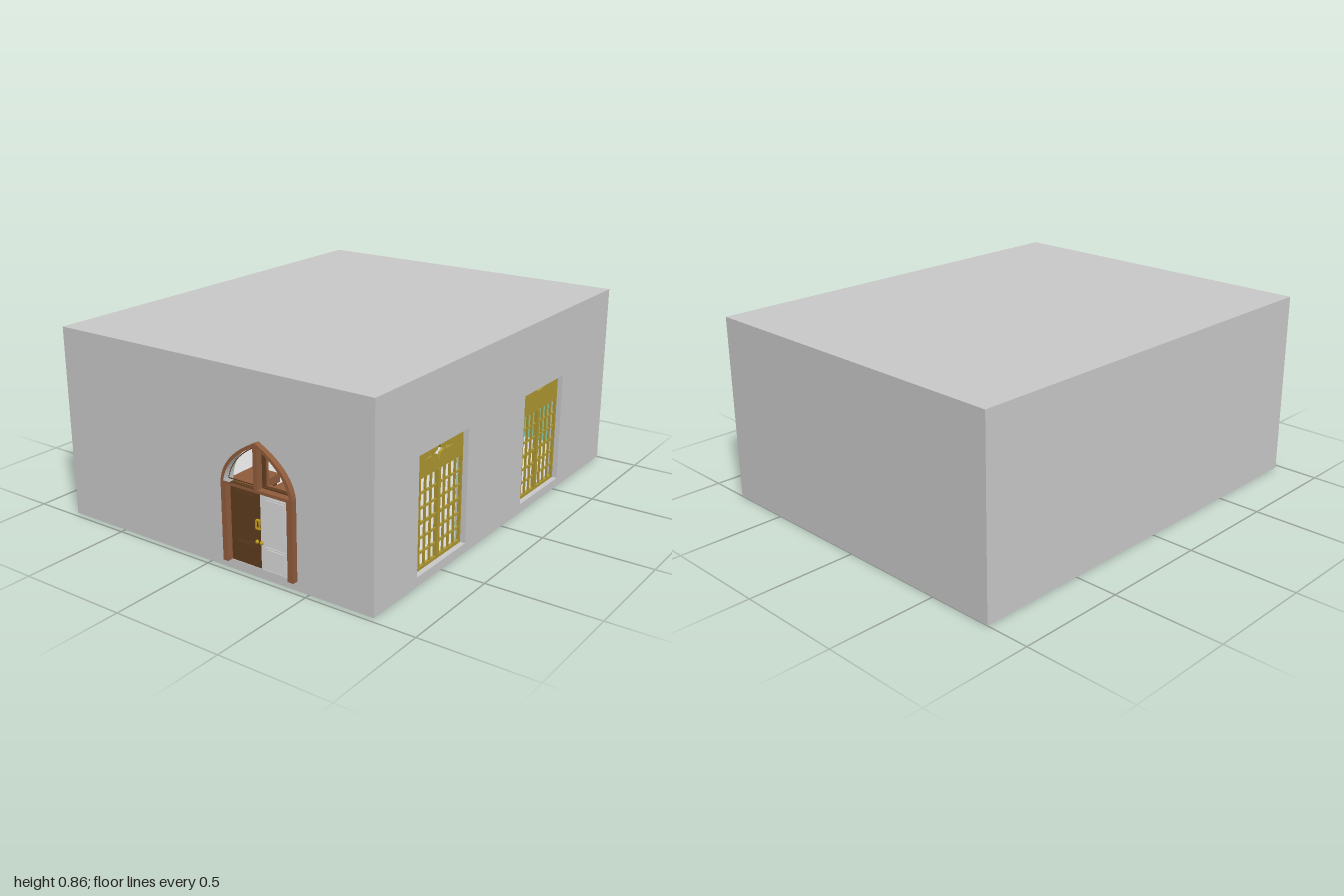
import * as THREE from 'three';

const mat = (name, color, extra = {}) => {
  const m = new THREE.MeshStandardMaterial({ color, ...extra });
  m.name = name;
  return m;
};

export function createModel() {
  const model = new THREE.Group();
  model.name = 'room';
  const grey = mat('wall grey', 0xc8c8c8);
  const green = mat('inner wall green', 0x92d2aa, { side: THREE.DoubleSide });
  const white = mat('white', 0xd8d8d8);
  const gold = mat('window gold', 0xac9632);
  const brown = mat('frame brown', 0x8f5c3c);
  const dark = mat('door dark brown', 0x5e3c1e);
  const brass = mat('handle brass', 0xc09a1c);

  const add = (parent, name, geo, material, x = 0, y = 0, z = 0) => {
    const mesh = new THREE.Mesh(geo, material);
    mesh.name = name;
    mesh.position.set(x, y, z);
    parent.add(mesh);
    return mesh;
  };
  const box = (parent, name, w, h, d, x, y, z, m) =>
    add(parent, name, new THREE.BoxGeometry(w, h, d), m, x, y, z);
  const poly = (points, Kind = THREE.Shape) => new Kind(points.map(p => new THREE.Vector2(...p)));
  const rect = (a, b, c, d, Kind) => poly([[a, b], [c, b], [c, d], [a, d]], Kind);
  const extrude = (shape, depth) =>
    new THREE.ExtrudeGeometry(shape, { depth, bevelEnabled: false, curveSegments: 12 });

  const X = 0.8, H = 0.86, F = 0.975, B = -1, T = 0.05;
  const midZ = (F + B) / 2, len = F - B;

  // Closed walls, floor and ceiling
  box(model, 'floor slab', 2 * X, 0.036, len, 0, 0.018, midZ, grey);
  box(model, 'floor covering', 2 * X - 2 * T, 0.004, len - 2 * T, 0, 0.038, midZ, white);
  box(model, 'ceiling', 2 * X, 0.04, len, 0, H - 0.02, midZ, grey);
  box(model, 'left inner wall', T, H - 0.076, len, -X + T / 2, 0.036 + (H - 0.076) / 2, midZ, grey);
  box(model, 'back wall', 2 * X - 2 * T, H - 0.076, T, 0, 0.036 + (H - 0.076) / 2, B + T / 2, grey);
  box(model, 'side wall lining', 0.004, H - 0.08, len - 2 * T, -X + T + 0.002, H / 2, midZ, green);
  box(model, 'back wall lining', 2 * X - 2 * T, H - 0.08, 0.004, 0, H / 2, B + T + 0.002, green);

  // Window wall, drawn with u = -z and turned to face +x
  const windows = [-0.495, 0.355];
  const windowWall = (a, b, lo, hi) => {
    const s = rect(a, lo, b, hi);
    for (const u of windows) s.holes.push(rect(u - 0.184, 0.041, u + 0.184, 0.548, THREE.Path));
    return s;
  };
  const side = new THREE.Group();
  side.name = 'windowWall';
  side.rotation.y = Math.PI / 2;
  model.add(side);
  add(side, 'window wall', extrude(windowWall(-F, -B, 0.036, H - 0.04), T), grey, 0, 0, X - T);
  add(side, 'window wall lining', new THREE.ShapeGeometry(windowWall(-F + T, -B - T, 0.036, H - 0.04)),
    green, 0, 0, X - T - 0.002);

  // Windows: pierced top panel above two leaves of glazing bars
  const cuts = [
    [[[0, 0.54], [0.012, 0.515], [0.04, 0.506], [0.012, 0.495], [0, 0.465],
      [-0.012, 0.495], [-0.04, 0.506], [-0.012, 0.515]],
    [[0.05, 0.5], [0.05, 0.51], [0.11, 0.5]], [[-0.05, 0.5], [-0.05, 0.51], [-0.11, 0.5]]],
    [[[-0.025, 0.525], [-0.005, 0.518], [0.03, 0.526], [0.09, 0.533], [0, 0.535]]],
  ];
  windows.forEach((u, i) => {
    const w = new THREE.Group();
    w.name = 'window' + (i + 1);
    w.position.set(u, 0, X - 0.036);
    side.add(w);
    const panel = rect(-0.184, 0.43, 0.184, 0.548);
    for (const c of cuts[i]) panel.holes.push(poly(c, THREE.Path));
    add(w, 'top panel', extrude(panel, 0.012), gold);
    box(w, 'bottom rail', 0.368, 0.014, 0.012, 0, 0.048, 0.006, gold);
    box(w, 'centre post', 0.02, 0.38, 0.018, 0, 0.242, 0.007, gold);
    for (const s of [-1, 1]) {
      box(w, 'outer stile', 0.012, 0.38, 0.012, s * 0.178, 0.242, 0.006, gold);
      for (let k = 1; k < 4; k++)
        box(w, 'upright bar', 0.007, 0.38, 0.009, s * (0.01 + k * 0.0405), 0.242, 0.006, gold);
    }
    for (let k = 1; k < 6; k++)
      box(w, 'cross bar', 0.36, k === 3 ? 0.011 : 0.007, 0.009, 0, 0.05 + k * 0.0635, 0.006, gold);
  });

  // Pointed arch outline around the door
  const dx = 0.2645;
  const archPath = (Kind, cx) => {
    const p = new Kind();
    p.moveTo(cx - 0.178, 0.041);
    p.lineTo(cx - 0.178, 0.385);
    p.quadraticCurveTo(cx - 0.164, 0.5, cx, 0.58);
    p.quadraticCurveTo(cx + 0.164, 0.5, cx + 0.178, 0.385);
    p.lineTo(cx + 0.178, 0.041);
    return p;
  };
  const frontWall = (x, lo, hi) => {
    const s = rect(-x, lo, x, hi);
    s.holes.push(archPath(THREE.Path, dx));
    return s;
  };
  add(model, 'front wall', extrude(frontWall(X - T, 0.036, H - 0.04), T), grey, 0, 0, F - T);
  add(model, 'front wall lining', new THREE.ShapeGeometry(frontWall(X - T, 0.036, H - 0.04)),
    green, 0, 0, F - T - 0.002);

  // Door frame with two open fanlights
  const door = new THREE.Group();
  door.name = 'door';
  door.position.x = dx;
  model.add(door);
  const frame = archPath(THREE.Shape, 0);
  for (const [x, y] of [[0.15, 0.041], [0.15, 0.375], [-0.153, 0.375], [-0.153, 0.041]]) frame.lineTo(x, y);
  const fanlight = (s, inset) => {
    const h = new THREE.Path();
    h.moveTo(s * (0.01 + inset), 0.388 + inset);
    h.lineTo(s * (0.164 - inset), 0.388 + inset);
    h.quadraticCurveTo(s * (0.144 - inset), 0.49 - inset, s * (0.01 + inset), 0.56 - inset * 1.5);
    return h;
  };
  for (const s of [-1, 1]) {
    frame.holes.push(fanlight(s, 0));
    const rim = new THREE.Shape(fanlight(s, 0).getPoints(12));
    rim.holes.push(fanlight(s, 0.005));
    add(door, 'fanlight rim', extrude(rim, 0.02), dark, 0, 0, 0.95);
  }
  add(door, 'door frame', extrude(frame, 0.07), brown, 0, 0, 0.93);

  // Door leaves with raised panels on both faces
  for (const s of [-1, 1]) {
    const m = s < 0 ? dark : white;
    const width = s < 0 ? 0.151 : 0.152;
    box(door, 'door leaf', width, 0.334, 0.02, s * 0.0757 - 0.0015, 0.208, 0.962, m);
    for (const [y, h] of [[0.264, 0.18], [0.098, 0.09]])
      for (const z of [0.952, 0.972]) {
        box(door, 'panel moulding', 0.1, h, 0.006, s * 0.074, y, z, m);
        box(door, 'raised panel', 0.084, h - 0.016, 0.012, s * 0.074, y, z, m);
      }
  }

  // Handles
  for (const x of [-0.015, 0.001]) box(door, 'pull bar', 0.005, 0.04, 0.006, x, 0.233, 0.984, brass);
  for (const y of [0.215, 0.251]) box(door, 'pull end', 0.02, 0.005, 0.01, -0.007, y, 0.979, brass);
  for (const x of [-0.012, 0.01])
    add(door, 'knob', new THREE.SphereGeometry(0.008, 12, 8), brass, x, 0.16, 0.984);

  // Wooden furniture inside the room
  const seat = new THREE.Group();
  seat.name = 'furniture';
  model.add(seat);
  for (const x of [-0.14, 0.08]) {
    box(seat, 'cabinet', 0.13, 0.09, 0.22, x, 0.105, 0.57, dark);
    box(seat, 'top', 0.15, 0.04, 0.24, x, 0.17, 0.57, brown);
    for (const s of [-1, 1]) for (const t of [-1, 1])
      box(seat, 'foot', 0.015, 0.02, 0.015, x + s * 0.05, 0.05, 0.57 + t * 0.095, dark);
  }
  return model;
}
